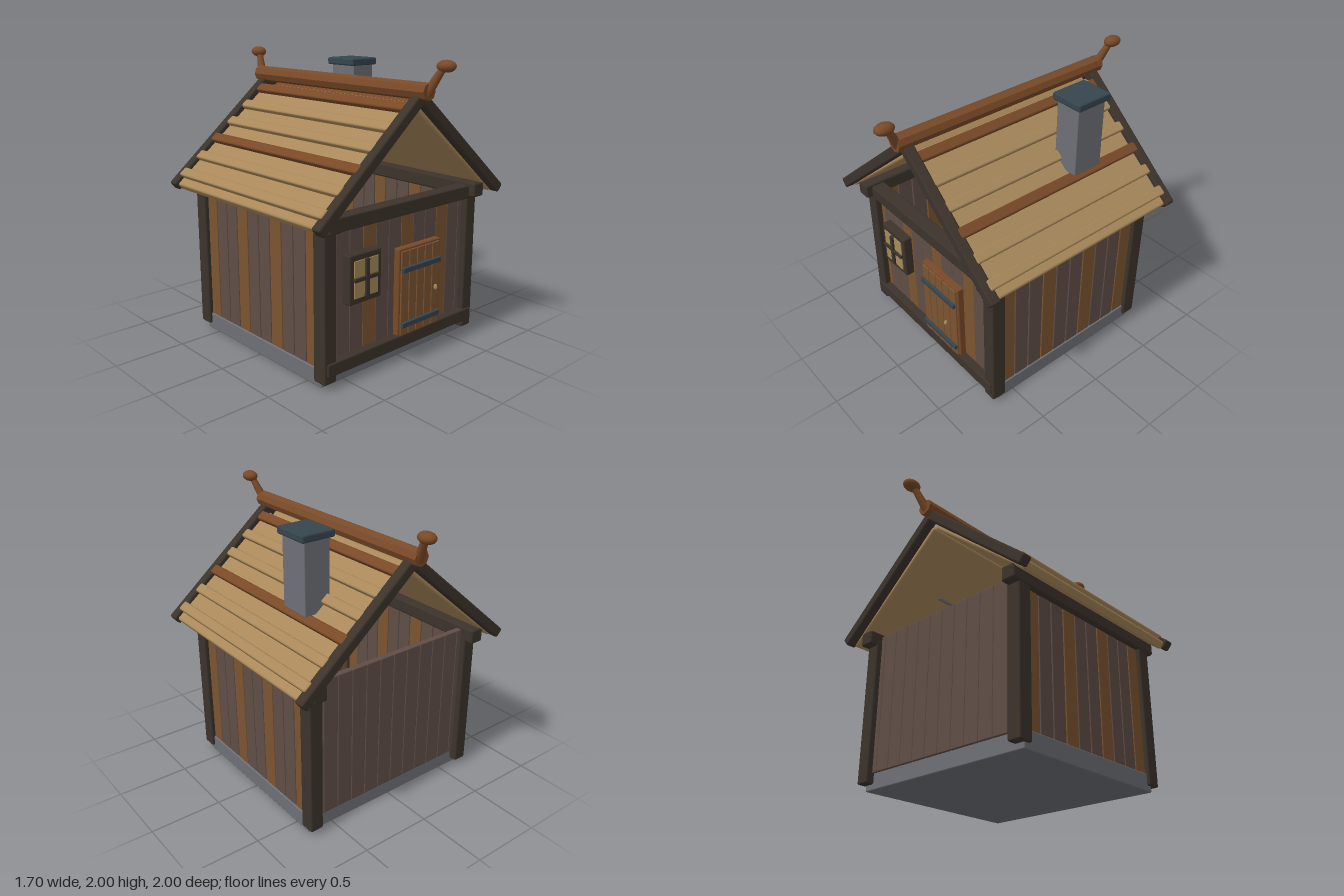
import * as THREE from 'three';
import { RoundedBoxGeometry } from 'three/addons/geometries/RoundedBoxGeometry.js';

const mat = (name, color) => {
  const m = new THREE.MeshStandardMaterial({ color });
  m.name = name;
  return m;
};

export function createModel() {
  const timber = mat('dark timber', 0x3c332b);
  const plank = mat('weathered plank', 0x5f4e46);
  const oak = mat('warm plank', 0x7b5431);
  const ridgeWood = mat('ridge brown', 0x784927);
  const straw = mat('roof tan', 0xa8885a);
  const stone = mat('grey stone', 0x6d7075);
  const slate = mat('slate iron', 0x36454e);
  const pane = mat('window glow', 0xa58a58);

  const hut = new THREE.Group();
  hut.name = 'hut';

  const add = (parent, name, geo, material) => {
    const m = new THREE.Mesh(geo, material);
    m.name = name;
    parent.add(m);
    return m;
  };
  const group = (name, parent = hut) => {
    const g = new THREE.Group();
    g.name = name;
    parent.add(g);
    return g;
  };
  // Softly bevelled box given by its minimum and maximum on each axis
  const block = (parent, name, material, [x0, x1], [y0, y1], [z0, z1], bevel = 0.008) => {
    const w = x1 - x0, h = y1 - y0, d = z1 - z0;
    const r = Math.min(bevel, Math.min(w, h, d) * 0.4);
    const m = add(parent, name, new RoundedBoxGeometry(w, h, d, 1, r), material);
    m.position.set((x0 + x1) / 2, (y0 + y1) / 2, (z0 + z1) / 2);
    return m;
  };

  // Stone base
  block(hut, 'foundation', stone, [-0.69, 0.69], [0, 0.12], [-0.635, 0.635]);

  // Front and back walls
  const frontWall = group('frontWall');
  const backWall = group('backWall');
  for (let i = 0; i < 12; i++) {
    const x = [-0.69 + i * 0.115, -0.69 + (i + 1) * 0.115];
    block(frontWall, 'frontPlank', i % 3 ? plank : oak, x, [0.11, 1.09], [0.6, 0.645], 0.005);
    block(backWall, 'backPlank', plank, x, [0.11, 1.1], [-0.65, -0.605], 0.007);
  }

  // Side walls, corner posts and wall plates
  for (const s of [-1, 1]) {
    const sideWall = group('sideWall');
    const span = (a, b) => (s > 0 ? [a, b] : [-b, -a]);
    for (let i = 0; i < 10; i++) {
      const z = 0.6 - i * 0.12;
      block(sideWall, 'sidePlank', i % 3 ? plank : oak, span(0.635, 0.68), [0.115, 1.05], [z - 0.117, z - 0.003], 0.005);
    }
    block(hut, 'frontPost', timber, span(0.612, 0.71), [0.04, 1.06], [0.585, 0.692], 0.012);
    block(hut, 'backPost', timber, span(0.612, 0.71), [0.04, 1.06], [-0.692, -0.585], 0.012);
    block(hut, 'wallPlate', timber, span(0.615, 0.72), [1.02, 1.122], [-0.75, 0.75], 0.015);
  }

  // Front cross beams
  block(hut, 'sillBeam', timber, [-0.69, 0.69], [0.09, 0.18], [0.6, 0.703], 0.01);
  block(hut, 'lintelBeam', timber, [-0.69, 0.69], [1.008, 1.103], [0.6, 0.703], 0.01);

  // Door
  const door = group('door');
  block(door, 'doorPanel', ridgeWood, [-0.062, 0.347], [0.13, 0.782], [0.62, 0.69], 0.01);
  for (let i = 0; i < 5; i++) {
    const x = -0.046 + i * 0.0755;
    block(door, 'doorPlank', oak, [x, x + 0.0725], [0.14, 0.766], [0.66, 0.7], 0.006);
  }
  for (const y of [0.252, 0.638]) {
    block(door, 'doorStrap', slate, [-0.045, 0.325], [y - 0.018, y + 0.018], [0.69, 0.72], 0.004);
  }
  const knob = add(door, 'doorKnob', new THREE.SphereGeometry(1, 10, 8), straw);
  knob.scale.set(0.012, 0.022, 0.014);
  knob.position.set(0.255, 0.458, 0.735);

  // Window
  const win = group('window');
  block(win, 'windowFrame', timber, [-0.52, -0.245], [0.52, 0.846], [0.62, 0.71], 0.012);
  block(win, 'windowPane', pane, [-0.485, -0.28], [0.56, 0.806], [0.708, 0.716], 0.002);
  block(win, 'mullion', timber, [-0.398, -0.367], [0.56, 0.81], [0.705, 0.732], 0.004);
  block(win, 'transom', timber, [-0.49, -0.275], [0.671, 0.697], [0.705, 0.73], 0.004);

  // Roof slopes: local +x runs down the slope, local y is its outward normal
  const PITCH = Math.atan(0.815), BARGE_PITCH = Math.atan(0.845);
  for (const s of [-1, 1]) {
    const roofSide = group('roofSide');
    if (s < 0) roofSide.rotation.y = Math.PI;

    const slope = group('roofSlope', roofSide);
    slope.position.y = 1.685;
    slope.rotation.z = -PITCH;
    block(slope, 'roofDeck', straw, [0, 1.02], [0, 0.06], [-0.748, 0.748], 0.015);
    for (let i = 0; i < 6; i++) {
      const u = (0.08 + i * 0.135) / Math.cos(PITCH) - 0.052;
      const end = 0.755 + (i % 2) * 0.01;
      block(slope, 'roofBatten', i % 3 ? straw : ridgeWood, [u - 0.036, u + 0.036], [0.045, 0.094], [-end, end], 0.012);
    }

    // Barge boards on both gables
    const edge = group('gableEdge', roofSide);
    edge.position.y = 1.77;
    edge.rotation.z = -BARGE_PITCH;
    for (const z of [-0.773, 0.773]) {
      block(edge, 'bargeBoard', timber, [-0.02, 1.09], [-0.036, 0.036], [z - 0.037, z + 0.037], 0.014);
    }
  }

  // Ridge pole
  const ridge = add(hut, 'ridgePole', new THREE.CylinderGeometry(0.056, 0.056, 1.7, 8).toNonIndexed(), ridgeWood);
  ridge.geometry.computeVertexNormals();
  ridge.rotation.x = Math.PI / 2;
  ridge.position.y = 1.808;

  // Ridge finials, one at each end
  for (const s of [-1, 1]) {
    const finial = group('finial');
    const a = new THREE.Vector3(0, 1.79, s * 0.825);
    const b = new THREE.Vector3(0.045, 1.955, s * 0.915);
    const dir = b.clone().sub(a);
    const stem = add(finial, 'finialStem', new THREE.CylinderGeometry(0.022, 0.033, dir.length(), 8), ridgeWood);
    stem.position.copy(a).add(b).multiplyScalar(0.5);
    stem.quaternion.setFromUnitVectors(new THREE.Vector3(0, 1, 0), dir.normalize());
    const head = add(finial, 'finialHead', new THREE.SphereGeometry(1, 14, 10), ridgeWood);
    head.scale.set(0.05, 0.038, 0.067);
    head.position.set(0.05, 1.964, s * 0.933);
  }

  // Chimney
  block(hut, 'chimney', stone, [0.325, 0.515], [1.405, 1.9], [-0.39, -0.16], 0.006);
  block(hut, 'chimneyCap', slate, [0.297, 0.541], [1.885, 1.937], [-0.413, -0.14], 0.012);

  return hut;
}
